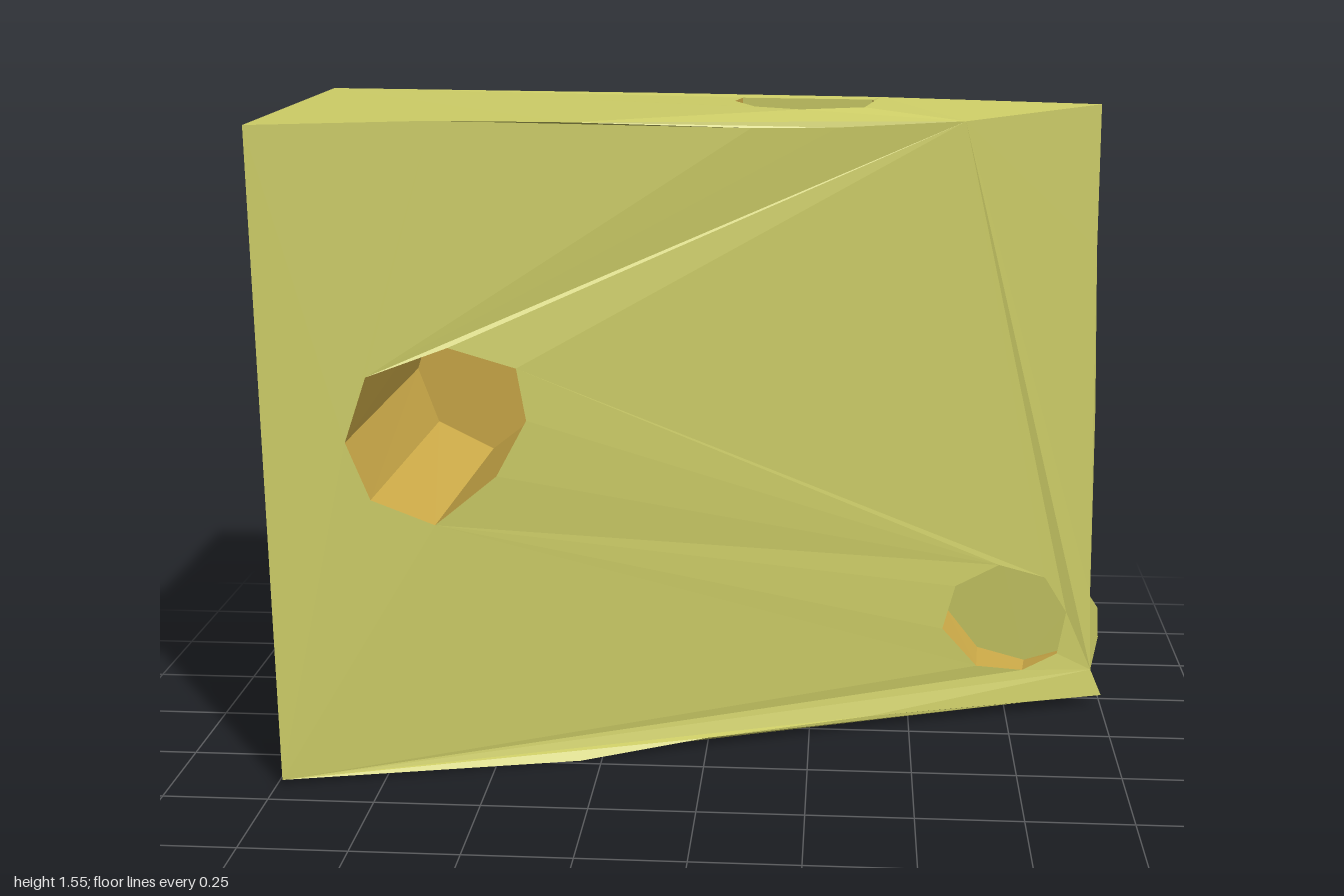
import * as THREE from 'three';

const V = (x, y, z) => new THREE.Vector3(x, y, z);
const material = (color) => new THREE.MeshStandardMaterial({ color, flatShading: true, side: THREE.DoubleSide });

// Straight-line interpolation through [x, value] pairs
function lerpAt(pairs, x) {
  let i = 1;
  while (i < pairs.length - 1 && x > pairs[i][0]) i++;
  const [x0, v0] = pairs[i - 1], [x1, v1] = pairs[i];
  return v0 + (v1 - v0) * (x - x0) / (x1 - x0);
}

// Slightly bowed plan of the wedge
const frontZ = (x) => lerpAt([[-1, 0.43], [-0.6, 0.315], [-0.3, 0.235], [0.1, 0.1], [0.94, -0.2]], Math.min(x, 0.94));
const backZ = (x) => lerpAt([[-1, -0.43], [-0.15, -0.36], [0.4, -0.29], [0.94, -0.2]], Math.min(x, 0.94));
const onFront = ([x, y]) => V(x, y, frontZ(x));
const onBack = ([x, y]) => V(x, y, backZ(x));

function mesh(name, points, mat) {
  const geometry = new THREE.BufferGeometry().setFromPoints(points);
  geometry.computeVertexNormals();
  const m = new THREE.Mesh(geometry, mat);
  m.name = name;
  return m;
}

// Nearly flat face with holes, triangulated on two axes and turned to face "out"
function panel(name, outline, holes, axes, out, mat) {
  const flat = (loop) => loop.map((p) => new THREE.Vector2(p[axes[0]], p[axes[1]]));
  const all = [outline, ...holes].flat();
  const sum = V(0, 0, 0);
  const triangles = THREE.ShapeUtils.triangulateShape(flat(outline), holes.map(flat)).map((t) => {
    const [a, b, c] = t.map((i) => all[i]);
    sum.add(b.clone().sub(a).cross(c.clone().sub(a)));
    return [a, b, c];
  });
  const flip = sum.dot(out) < 0;
  return mesh(name, triangles.flatMap(([a, b, c]) => (flip ? [a, c, b] : [a, b, c])), mat);
}

// Strips of quads between successive rows of points
function loft(name, rows, closed, mat) {
  const points = [];
  for (let r = 0; r + 1 < rows.length; r++) {
    const p = rows[r], q = rows[r + 1], n = p.length;
    for (let i = 0; i < (closed ? n : n - 1); i++) {
      const j = (i + 1) % n;
      points.push(p[i], p[j], q[j], p[i], q[j], q[i]);
    }
  }
  return mesh(name, points, mat);
}

export function createModel() {
  const group = new THREE.Group();
  group.name = 'cheeseWedge';
  const cheese = material(0xcccc66);
  const hollow = material(0xccaa48);

  // Shared edges of the wedge
  const frontTop = [[-0.99, 1.555], [-0.6, 1.555], [-0.3, 1.545], [0.1, 1.52], [0.3, 1.515], [0.6, 1.52]].map(onFront);
  const frontBottom = [[-0.985, 0.015], [-0.6, 0.005], [-0.3, 0], [0, 0.025], [0.4, 0.035], [0.8, 0.025]].map(onFront);
  const backTop = [[-1, 1.555], [-0.6, 1.555], [-0.15, 1.555], [0.4, 1.555]].map(onBack);
  const backLeft = [[-0.995, 0.02], [-0.6, 0.025]].map(onBack);
  const backRight = [[0.4, 0.015], [0.7, 0.02]].map(onBack);
  const tip = [[0.93, 1.55], [0.935, 1.2], [0.95, 0.8], [0.96, 0.3], [0.98, 0.27], [0.985, 0.19], [0.97, 0.1], [1, 0.03]]
    .map(([x, y]) => V(x, y, -0.2));
  const tipTop = tip[0], tipBottom = tip[tip.length - 1];

  // Openings
  const largeRim = [[-0.76, 0.98], [-0.58, 1.04], [-0.43, 0.985], [-0.41, 0.86], [-0.48, 0.73],
    [-0.62, 0.62], [-0.76, 0.69], [-0.81, 0.83]].map(onFront);
  const smallRim = [[0.61, 0.36], [0.72, 0.405], [0.84, 0.36], [0.9, 0.26], [0.88, 0.15],
    [0.79, 0.115], [0.67, 0.14], [0.58, 0.25]].map(onFront);
  const topRim = [[0.06, -0.3], [0.045, -0.22], [0.1, -0.09], [0.21, -0.03], [0.36, -0.09], [0.385, -0.23], [0.38, -0.275]]
    .map(([x, z]) => V(x, 1.55, z));
  const notchBack = [[0.07, 0.02], [0.03, 0.1], [-0.01, 0.24], [-0.06, 0.37], [-0.17, 0.37], [-0.235, 0.3],
    [-0.26, 0.18], [-0.24, 0.02]].map(onBack);
  const notchBottom = [[0.07, backZ(0.07)], [0.085, -0.24], [0.09, -0.17], [0.02, -0.12], [-0.08, -0.08],
    [-0.18, -0.11], [-0.25, -0.15], [-0.24, backZ(-0.24)]].map(([x, z]) => V(x, 0.02, z));

  // Outer faces
  group.add(
    panel('frontFace', [...frontBottom, ...[...tip].reverse(), ...[...frontTop].reverse()],
      [largeRim, smallRim], 'xy', V(0, 0, 1), cheese),
    panel('backFace', [...backLeft, ...[...notchBack].reverse(), ...backRight, ...[...tip].reverse(), ...[...backTop].reverse()],
      [], 'xy', V(0, 0, -1), cheese),
    panel('topFace', [...frontTop, tipTop, ...[...backTop].reverse()], [topRim], 'xz', V(0, 1, 0), cheese),
    panel('bottomFace', [...frontBottom, tipBottom, ...[...backRight].reverse(), ...notchBottom, ...[...backLeft].reverse()],
      [], 'xz', V(0, -1, 0), cheese),
    panel('rindFace', [frontBottom[0], frontTop[0], backTop[0], backLeft[0]], [], 'zy', V(-1, 0, 0), cheese));

  // Deep round hole on the front
  const largeFloor = largeRim.map((p) => V(p.x + 0.04, p.y + 0.03, -0.25));
  group.add(loft('largeHoleWall', [largeRim, largeFloor], true, hollow),
    panel('largeHoleFloor', largeFloor, [], 'xy', V(0, 0, 1), hollow));

  // Hole near the tip, stopping just short of the back face
  const smallFloor = smallRim.map((p) => V(p.x + 0.01, p.y, backZ(p.x) + 0.006));
  group.add(loft('smallHoleWall', [smallRim, smallFloor], true, hollow),
    panel('smallHoleFloor', smallFloor, [], 'xy', V(0, 0, 1), cheese));

  // Hole in the top, closed at the rear by the thin back face
  const topFloor = topRim.map((p) => V(p.x, 1.27, p.z));
  const last = topRim.length - 1;
  group.add(loft('topHoleWall', [topRim, topFloor], false, hollow),
    panel('topHoleFloor', topFloor, [], 'xz', V(0, 1, 0), hollow),
    panel('topHoleRear', [topRim[0], topRim[last], topFloor[last], topFloor[0]], [], 'xy', V(0, 0, 1), cheese));

  // Hollow through the lower back edge, rounded between its two openings
  const notchMiddle = notchBack.map((p, i) => {
    const q = notchBottom[i];
    return V((p.x + q.x) / 2, 0.02 + 0.72 * (p.y - 0.02), p.z + 0.72 * (q.z - p.z));
  });
  group.add(loft('lowerHollow', [notchBack, notchMiddle, notchBottom], false, hollow));

  return group;
}
